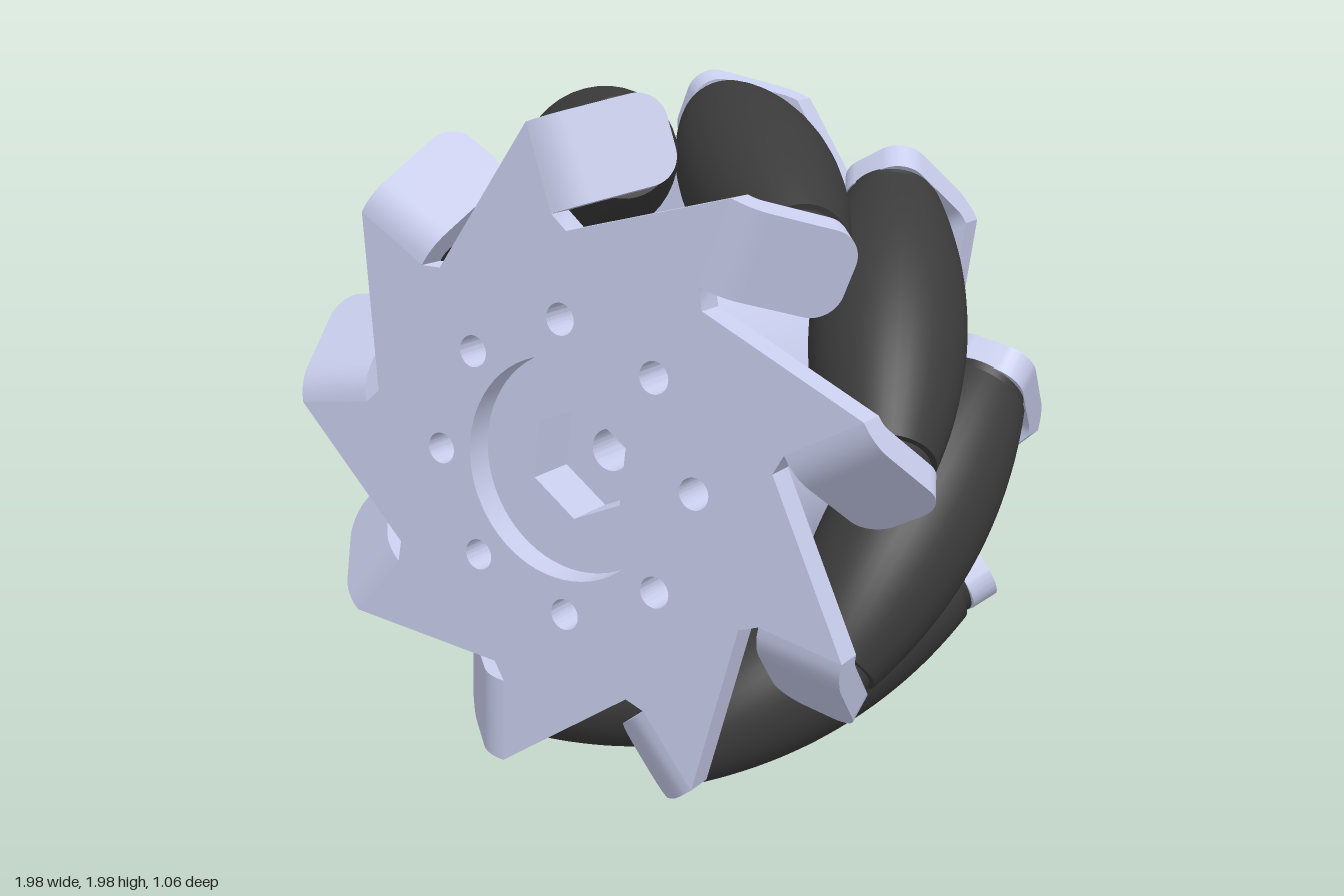
import * as THREE from 'three';
import { toCreasedNormals } from 'three/addons/utils/BufferGeometryUtils.js';

const COUNT = 9, STEP = (Math.PI * 2) / COUNT;
const PHASE = THREE.MathUtils.degToRad(28); // angle of the first roller
const AXIS_R = 0.78, OUTER_R = 0.99;        // roller centre distance, rolling radius
const FACE = 0.532, INNER = 0.452;          // outer and inner z of the side plates
const BEND = -0.19;                         // tangential position where a tongue leaves its plate
const HALF_WIDTH = 0.122;                   // of a tongue

const metal = new THREE.MeshStandardMaterial({ color: 0xc8cdec });
const rubber = new THREE.MeshStandardMaterial({ color: 0x3a3a3a });

function mesh(name, geometry, material) {
  const m = new THREE.Mesh(geometry, material);
  m.name = name;
  return m;
}

function circle(x, y, r) {
  return new THREE.Path().absarc(x, y, r, 0, Math.PI * 2, true);
}

// Eight bolt holes, given the angle of the first one
function addBoltHoles(shape, start) {
  for (let i = 0; i < 8; i++) {
    const a = start + (i * Math.PI) / 4;
    shape.holes.push(circle(0.41 * Math.cos(a), 0.41 * Math.sin(a), 0.044));
  }
}

function extrude(shape, z0, z1) {
  const g = new THREE.ExtrudeGeometry(shape, { depth: z1 - z0, bevelEnabled: false, curveSegments: 32 });
  g.translate(0, 0, z0);
  return toCreasedNormals(g, 0.6);
}

// Saw-toothed side plate with a round pocket opening
function plateGeometry(holeStart) {
  const tooth = [[AXIS_R - HALF_WIDTH, BEND], [AXIS_R + HALF_WIDTH, BEND], [0.606, 0.219]];
  const pts = [];
  for (let k = 0; k < COUNT; k++) {
    for (const [x, y] of tooth) {
      pts.push(new THREE.Vector2(x, y).rotateAround(new THREE.Vector2(), k * STEP));
    }
  }
  const shape = new THREE.Shape(pts);
  shape.holes.push(circle(0, 0, 0.31));
  addBoltHoles(shape, holeStart);
  return extrude(shape, INNER, FACE);
}

// Round-tipped strip that bends 45 degrees out of the plate, square to the roller axis
function tongueGeometry() {
  const straight = 0.255, bendR = 0.1, tipR = 0.08;
  const length = straight + (bendR * Math.PI) / 4;
  const bendZ = (FACE + INNER) / 2 - bendR;
  const g = new THREE.BoxGeometry(2, 1, FACE - INNER, 1, 36, 1);
  const p = g.attributes.position;
  for (let i = 0; i < p.count; i++) {
    const s = length * (p.getY(i) + 0.5) ** 2; // distance from the tip, rows crowded there
    const inset = tipR - Math.sqrt(tipR ** 2 - Math.max(0, tipR - s) ** 2);
    const angle = Math.PI / 4 - Math.max(0, s - straight) / bendR;
    const run = Math.min(0, s - straight) * Math.SQRT1_2;
    const r = bendR + p.getZ(i);
    p.setXYZ(i, AXIS_R + p.getX(i) * (HALF_WIDTH - inset),
      BEND - r * Math.sin(angle) + run, bendZ + r * Math.cos(angle) + run);
  }
  return toCreasedNormals(g, 0.6);
}

// Barrel-shaped roller with a small collar at each end
function rollerGeometry() {
  const half = 0.445, end = 0.475, collar = 0.12, n = 24;
  const pts = [[0, -end], [collar, -end], [collar, -half]];
  for (let i = 0; i <= n; i++) {
    const f = (2 * i) / n - 1;
    pts.push([OUTER_R - AXIS_R - 0.075 * f * f, half * f]);
  }
  pts.push([collar, half], [collar, end], [0, end]);
  const g = new THREE.LatheGeometry(pts.map(([x, y]) => new THREE.Vector2(x, y)), 40);
  g.rotateX(Math.PI * 0.75); // lathe axis to the skewed roller axis
  g.translate(AXIS_R, 0, 0);
  return toCreasedNormals(g, 0.6);
}

// Hub slice between two heights, with a round or hexagonal bore
function hubGeometry(z0, z1, bore) {
  const shape = new THREE.Shape().absarc(0, 0, 0.565, 0, Math.PI * 2, false);
  shape.holes.push(bore);
  addBoltHoles(shape, -PHASE);
  return extrude(shape, z0, z1);
}

export function createModel() {
  const model = new THREE.Group();
  model.name = 'omnidirectionalWheel';
  const wheel = new THREE.Group();
  wheel.name = 'wheel';
  wheel.position.y = 1;
  wheel.rotation.z = PHASE;
  model.add(wheel);

  // Hub with a hexagonal socket at the front
  const hex = [];
  for (let i = 0; i < 6; i++) {
    const a = THREE.MathUtils.degToRad(55 - 60 * i);
    hex.push(new THREE.Vector2(0.163 * Math.cos(a), 0.163 * Math.sin(a)));
  }
  wheel.add(mesh('hub', hubGeometry(-INNER, 0.3, circle(0, 0, 0.06)), metal));
  wheel.add(mesh('hubSocket', hubGeometry(0.3, INNER, new THREE.Path(hex)), metal));

  // Side plates; the back one is the front one turned over
  const tongue = tongueGeometry();
  for (const side of [1, -1]) {
    const plate = new THREE.Group();
    plate.name = side > 0 ? 'frontPlate' : 'backPlate';
    plate.add(mesh('plateDisc', plateGeometry(-side * PHASE), metal));
    for (let k = 0; k < COUNT; k++) {
      const m = mesh('rollerTongue', tongue, metal);
      m.rotation.z = k * STEP;
      plate.add(m);
    }
    if (side < 0) plate.rotation.x = Math.PI;
    wheel.add(plate);
  }

  // Rollers
  const roller = rollerGeometry();
  for (let k = 0; k < COUNT; k++) {
    const m = mesh('roller', roller, rubber);
    m.rotation.z = k * STEP;
    wheel.add(m);
  }
  return model;
}
